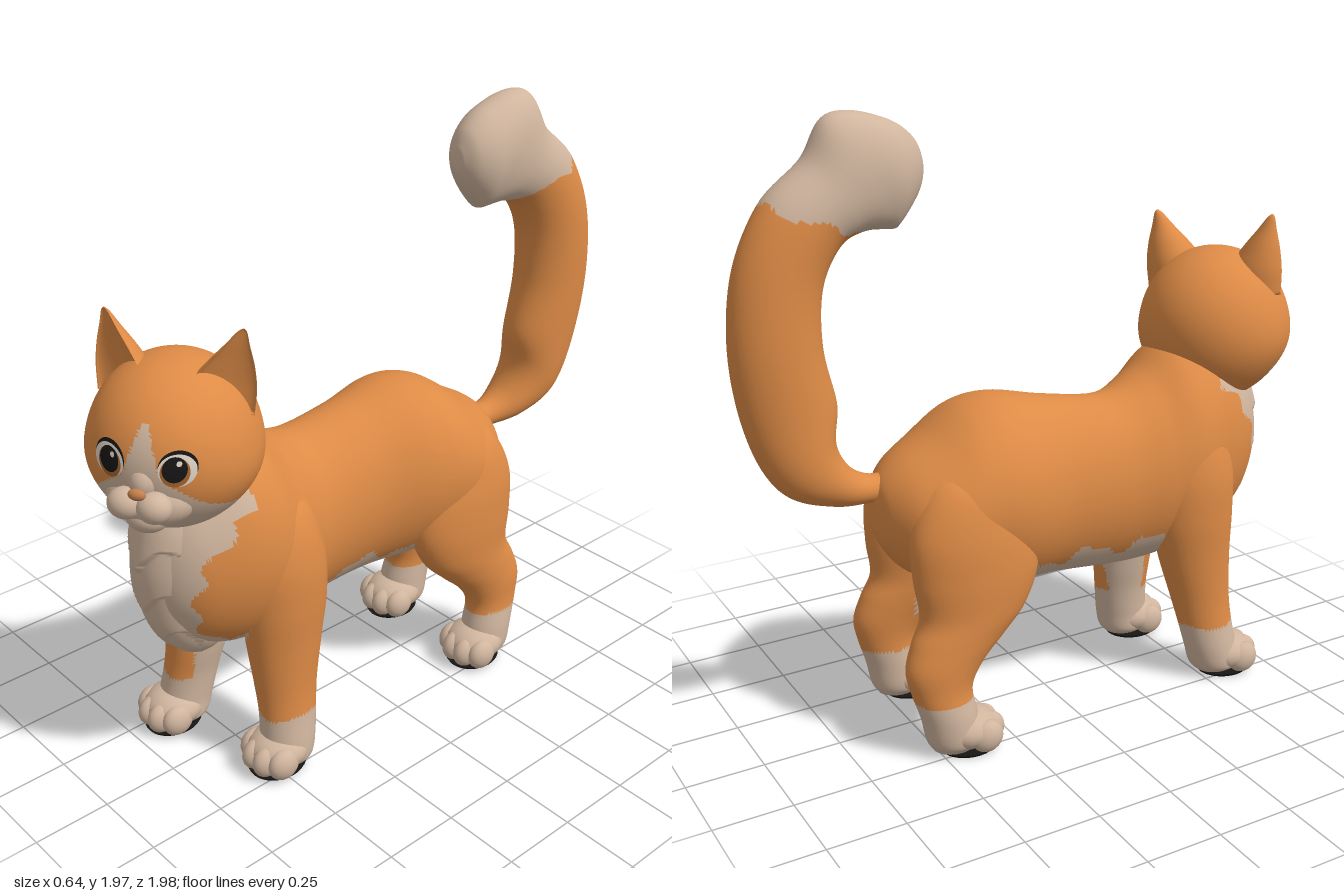
import * as THREE from 'three';
import { mergeVertices } from 'three/addons/utils/BufferGeometryUtils.js';

const mat = (name, color, extra = {}) =>
  Object.assign(new THREE.MeshStandardMaterial({ color, ...extra }), { name });

// Smooth closed skin through oval sections [x, y, z, halfWidth, halfDepth, tilt in degrees]
// tilt 0 = upright section, 90 = level section
function loft(rows, n = 72, segs = 48) {
  const mid = new THREE.CatmullRomCurve3(rows.map(r => new THREE.Vector3(r[0], r[1], r[2])), false, 'catmullrom');
  const size = new THREE.CatmullRomCurve3(rows.map(r => new THREE.Vector3(r[3], r[4], r[5])), false, 'catmullrom');
  const pos = [], idx = [];
  for (let i = 0; i <= n; i++) {
    const c = mid.getPoint(i / n), s = size.getPoint(i / n), t = s.z * Math.PI / 180;
    for (let j = 0; j < segs; j++) {
      const a = j / segs * Math.PI * 2;
      const v = Math.max(s.y, 0.002) * Math.sin(a);
      pos.push(c.x + Math.max(s.x, 0.002) * Math.cos(a), c.y + v * Math.cos(t), c.z + v * Math.sin(t));
      if (i < n) {
        const k = i * segs, p = k + j, q = k + (j + 1) % segs;
        idx.push(p, q, q + segs, p, q + segs, p + segs);
      }
    }
  }
  // end caps
  const first = pos.length / 3;
  for (const r of [rows[0], rows[rows.length - 1]]) pos.push(r[0], r[1], r[2]);
  for (let j = 0; j < segs; j++) {
    const k = (j + 1) % segs;
    idx.push(first, k, j, first + 1, n * segs + j, n * segs + k);
  }
  // turn the skin outwards if it came out inside out
  const P = i => new THREE.Vector3().fromArray(pos, i * 3);
  let volume = 0;
  for (let i = 0; i < idx.length; i += 3) volume += P(idx[i]).dot(P(idx[i + 1]).cross(P(idx[i + 2])));
  if (volume < 0) idx.reverse();
  const g = new THREE.BufferGeometry();
  g.setAttribute('position', new THREE.Float32BufferAttribute(pos, 3));
  g.setIndex(idx);
  g.computeVertexNormals();
  return g;
}

// Move every vertex by a rule
function warp(g, rule) {
  const p = g.attributes.position, v = new THREE.Vector3();
  for (let i = 0; i < p.count; i++) {
    rule(v.fromBufferAttribute(p, i));
    p.setXYZ(i, v.x, v.y, v.z);
  }
  g.computeVertexNormals();
  return g;
}

// Sort faces into two colour groups; rule(x, y, z) is true for the second
function paint(g, rule) {
  const p = g.attributes.position, ix = g.index.array, parts = [[], []];
  for (let i = 0; i < ix.length; i += 3) {
    const t = [ix[i], ix[i + 1], ix[i + 2]];
    const avg = f => (p[f](t[0]) + p[f](t[1]) + p[f](t[2])) / 3;
    parts[rule(avg('getX'), avg('getY'), avg('getZ')) ? 1 : 0].push(...t);
  }
  g.setIndex([...parts[0], ...parts[1]]);
  g.addGroup(0, parts[0].length, 0);
  g.addGroup(parts[0].length, parts[1].length, 1);
  return g;
}

export function createModel() {
  const orange = mat('orange fur', 0xde8b46);
  const cream = mat('cream fur', 0xd0b59e);
  const black = mat('black', 0x171615, { side: THREE.DoubleSide });
  const white = mat('eye white', 0xe0d6ca, { side: THREE.DoubleSide });
  const amber = mat('amber iris', 0xa9662c, { side: THREE.DoubleSide });
  const noseColor = mat('nose', 0xc47f4c);
  const fur = [orange, cream];
  const cat = new THREE.Group();
  cat.name = 'cat';
  const add = (parent, name, geo, material) => {
    const m = new THREE.Mesh(geo, material);
    m.name = name;
    parent.add(m);
    return m;
  };
  const ball = (parent, name, material, [x, y, z], [a, b, c]) => {
    const m = add(parent, name, new THREE.SphereGeometry(1, 22, 14), material);
    m.position.set(x, y, z);
    m.scale.set(a, b, c);
  };

  // Trunk with cream belly and breast
  const trunk = loft([
    [0, .75, -.6, .03, .05, 0], [0, .75, -.58, .1, .11, 0], [0, .74, -.52, .19, .18, 0],
    [0, .745, -.42, .25, .235, 0], [0, .77, -.3, .27, .29, 0], [-.01, .765, -.18, .26, .315, 0],
    [-.025, .745, 0, .21, .3, 0], [-.035, .725, .2, .205, .295, 0], [-.02, .745, .34, .24, .32, 0],
    [0, .79, .46, .265, .355, 0], [.02, .81, .58, .245, .36, 0], [.03, .8, .7, .195, .29, 0],
    [.035, .8, .77, .14, .21, 0], [.035, .79, .81, .08, .12, 0], [.035, .78, .825, .01, .02, 0],
  ], 170, 88);
  add(cat, 'trunk', paint(trunk, (x, y, z) =>
    (z > -.25 && z < .6 && y < .55 + .025 * Math.sin(z * 28) + .012 * Math.sin(z * 61)) ||
    (z > .57 + .02 * Math.sin(y * 24) && y < 1.04 &&
      Math.abs(x - .035) < .1 + .22 * (y - .5) + .012 * Math.sin(y * 50))), fur);

  // Breast ruff with overlapping tufts
  const ruff = warp(loft([
    [.035, 1.02, .63, .12, .17, 90], [.035, .92, .64, .15, .19, 90], [.035, .8, .64, .15, .205, 90],
    [.03, .67, .64, .125, .19, 90], [.03, .56, .64, .1, .15, 90], [.03, .48, .64, .065, .09, 90],
    [.03, .43, .64, .015, .02, 90],
  ], 120, 84), v => {
    const dx = v.x - .033, dz = v.z - .64, a = Math.atan2(dx, dz);
    const f = (1.1 - v.y) / .15 + .6 * Math.abs(Math.sin(a * 3));
    const k = 1 + .055 * (f - Math.floor(f));
    v.x = .033 + dx * k;
    v.z = .64 + dz * k;
  });
  add(cat, 'ruff', ruff, cream);

  // Tail with cream tip
  const tail = loft([
    [.02, .83, -.5, .05, .05, 0], [.03, .83, -.6, .05, .045, 0], [.04, .86, -.7, .08, .07, 25],
    [.05, .94, -.79, .1, .115, 50], [.06, 1.1, -.83, .105, .145, 80], [.065, 1.3, -.86, .11, .14, 92],
    [.07, 1.5, -.84, .11, .135, 102], [.07, 1.65, -.765, .11, .135, 120], [.07, 1.725, -.665, .108, .14, 142],
    [.07, 1.785, -.575, .105, .195, 152], [.075, 1.785, -.475, .1, .155, 172], [.08, 1.785, -.41, .07, .1, 180],
    [.08, 1.785, -.38, .03, .045, 180], [.08, 1.785, -.375, .005, .008, 180],
  ], 130);
  add(cat, 'tail', paint(tail, (x, y, z) =>
    y > 1.62 - (z + .62) * .385 + .012 * Math.sin(x * 60 + z * 30)), fur);

  // Paw with four toes and a dark sole
  const paw = (name, x, z) => {
    const g = new THREE.Group();
    g.name = name;
    g.position.set(x, 0, z);
    ball(g, 'pawBody', cream, [0, .07, -.005], [.1, .066, .1]);
    [-.07, -.026, .026, .07].forEach((tx, i) =>
      ball(g, 'toe', cream, [tx, .058, i % 3 ? .058 : .03], [.038, .054, .055]));
    const sole = add(g, 'sole', new THREE.CylinderGeometry(.085, .08, .009, 32), black);
    sole.position.y = .0045;
    sole.scale.z = 1.15;
    cat.add(g);
  };

  // Legs; the right foreleg stands further forward
  for (const s of [1, -1]) {
    const side = s > 0 ? 'left' : 'right';
    const step = y => (s > 0 ? 0 : .12 * (1 - y));
    const fore = [
      [.13, .98, .45, .03, .05], [.145, .89, .44, .095, .13], [.168, .75, .43, .11, .155], [.172, .6, .42, .108, .15],
      [.17, .45, .42, .1, .13], [.178, .3, .425, .088, .107], [.19, .2, .43, .082, .097], [.2, .1, .44, .085, .092],
      [.2, .04, .45, .085, .09], [.2, .015, .45, .06, .07],
    ].map(([x, y, z, a, b]) => [x * s, y, z + step(y), a, b, 90]);
    // cream sock and inner side, with a patch high on the left leg
    const creamFore = (x, y, z) => y < .2 + .008 * Math.sin(x * 50) || (s > 0
      ? (x < .14 && y < .5 && z < .47) || (z > .42 && y > .37 && y < .56 && x < .06 + .7 * (y - .36))
      : x > -.14 && y < .34 + .02 * Math.sin(z * 50) && z < .57);
    add(cat, side + 'Foreleg', paint(loft(fore), creamFore), fur);
    paw(side + 'Forepaw', s * .2, .485 + step(0));

    const hind = [
      [.12, .94, -.36, .03, .06], [.145, .85, -.36, .095, .14], [.168, .72, -.355, .11, .2], [.178, .58, -.345, .11, .21],
      [.185, .46, -.36, .1, .18], [.192, .38, -.415, .09, .16], [.2, .3, -.47, .08, .13], [.205, .22, -.485, .074, .1],
      [.21, .13, -.465, .08, .092], [.21, .05, -.45, .08, .09], [.21, .015, -.45, .06, .07],
    ].map(([x, y, z, a, b]) => [x * s, y, z, a, b, 90]);
    add(cat, side + 'HindLeg', paint(loft(hind), (x, y, z) =>
      y < .19 + .006 * Math.sin(x * 50) || (x * s < .125 && y < .56 && z > -.42)), fur);
    paw(side + 'HindPaw', s * .21, -.4);
  }

  // Head, turned to its left
  const head = new THREE.Group();
  head.name = 'head';
  head.position.set(.025, 1.19, .68);
  head.rotation.set(0, .58, -.05);
  cat.add(head);
  const cheek = y => 1 + .06 * Math.exp(-(((y + .07) / .1) ** 2));
  const faceZ = (x, y) =>
    .26 * Math.sqrt(Math.max(0, 1 - (x / cheek(y) / .245) ** 2 - (y / .25) ** 2));
  let skull = new THREE.SphereGeometry(1, 112, 80).scale(.245, .25, .26);
  skull.deleteAttribute('uv');
  skull.deleteAttribute('normal');
  skull = warp(mergeVertices(skull, 1e-5), v => {
    v.x *= cheek(v.y);
    if (v.y < 0) v.y *= 1.08;
  });
  add(head, 'skull', paint(skull, (x, y, z) => z > -.02 && y < .14 &&
    Math.abs(x) < (y > 0 ? .01 + .32 * (.14 - y) : .055 + 1.15 * -y)), fur);

  // Muzzle, nose and chin
  ball(head, 'muzzleBase', cream, [0, -.1, .185], [.13, .085, .09]);
  ball(head, 'noseBridge', cream, [0, -.03, .215], [.05, .06, .062]);
  ball(head, 'nose', noseColor, [0, -.042, .287], [.026, .017, .016]);
  ball(head, 'chin', cream, [0, -.145, .215], [.065, .05, .055]);

  // Thin disc that follows the curve of the face
  const disc = (name, material, cx, cy, a, b, lift) =>
    add(head, name, warp(new THREE.RingGeometry(.001, 1, 36, 4), v => {
      v.x = cx + v.x * a;
      v.y = cy + v.y * b;
      v.z = faceZ(v.x, v.y) + lift;
    }), material);

  for (const s of [1, -1]) {
    ball(head, 'whiskerPad', cream, [s * .042, -.085, .268], [.052, .046, .046]);
    disc('eyeRim', black, s * .098, .031, .05, .05, .003);
    disc('eyeWhite', white, s * .098, .025, .049, .047, .006);
    disc('iris', amber, s * .094, .022, .038, .043, .009);
    disc('pupil', black, s * .094, .031, .032, .037, .012);
    disc('glint', white, s * .094 + .012, .05, .007, .008, .015);

    // Cupped ear
    const ear = warp(loft([
      [.125, .1, 0, .11, .1, 90], [.14, .18, 0, .1, .095, 90], [.163, .25, 0, .07, .068, 90],
      [.183, .31, 0, .036, .036, 90], [.196, .35, 0, .015, .015, 90], [.2, .362, 0, .004, .004, 90],
    ].map(([x, ...r]) => [x * s, ...r]), 40, 40), v => { if (v.z > 0) v.z *= -.3; });
    const m = add(head, s > 0 ? 'leftEar' : 'rightEar', ear, orange);
    m.position.set(s * .018, 0, .09);
    m.rotation.y = s * .4;
  }
  return cat;
}
